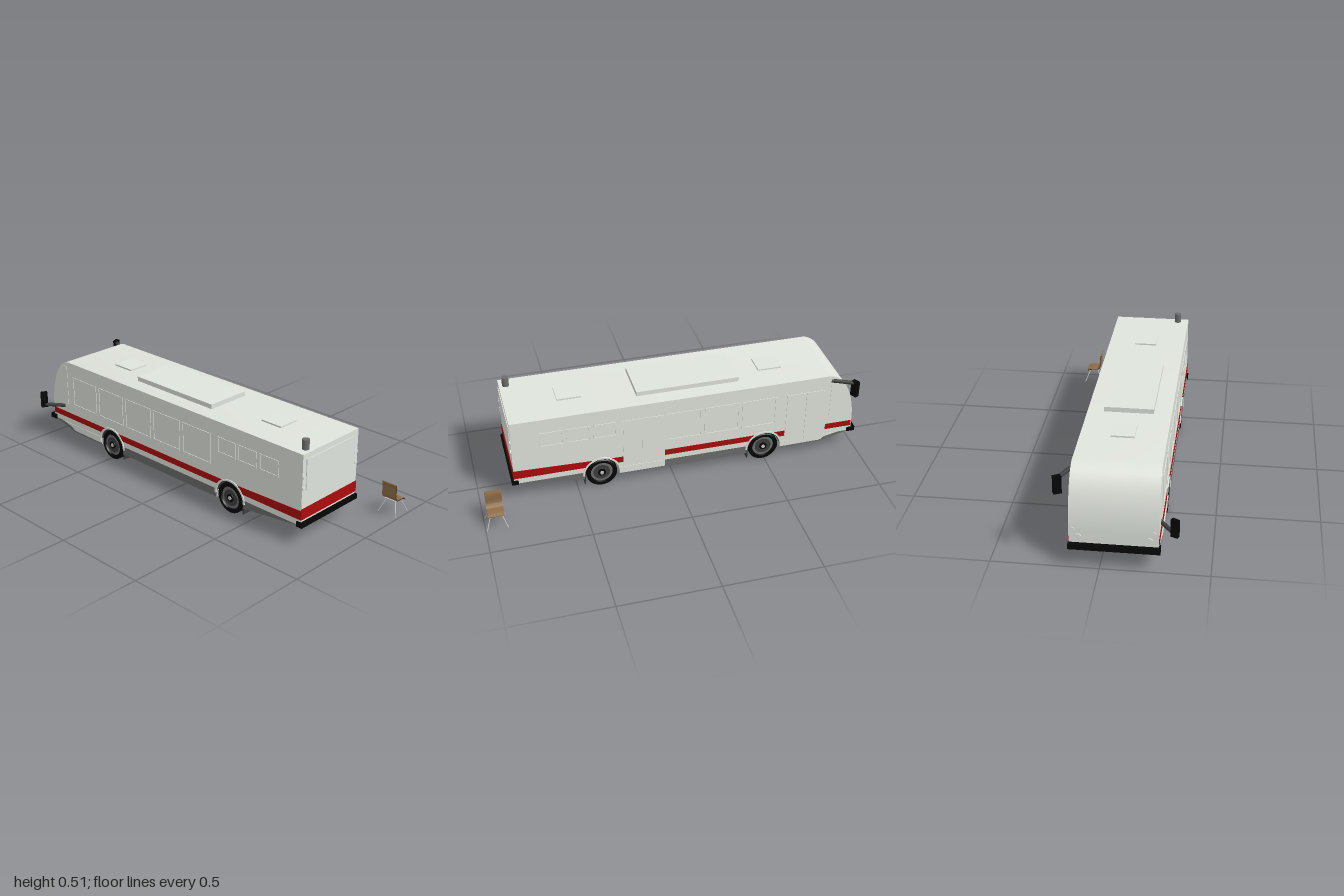
import * as THREE from 'three';
import { toCreasedNormals } from 'three/addons/utils/BufferGeometryUtils.js';

const RIGHT = 0.14, LEFT = -0.265, MID = (RIGHT + LEFT) / 2, WIDTH = RIGHT - LEFT;
const AXLES = [0.375, -0.49], ARCH = 0.09, HUB_Y = 0.08;

export function createModel() {
  const bus = new THREE.Group();
  bus.name = 'busAndChair';
  const mat = (name, color) => {
    const m = new THREE.MeshStandardMaterial({ color });
    m.name = name;
    return m;
  };
  const paint = mat('paleGreyPaint', 0xdfe4dc);
  const red = mat('redStripe', 0xab0c0c);
  const grey = mat('skirtGrey', 0x6c6c6c);
  const under = mat('undersideGrey', 0xb0b0b0);
  const dark = mat('darkGrey', 0x3d3d3d);
  dark.side = THREE.DoubleSide;
  const black = mat('blackRubber', 0x060606);
  const brown = mat('brownSeat', 0x8e6d47);
  const edge = mat('darkSeatEdge', 0x3a2a1c);
  const steel = mat('chairSteel', 0xc4c6c4);

  const add = (name, geo, material, parent = bus) => {
    const m = new THREE.Mesh(geo, material);
    m.name = name;
    parent.add(m);
    return m;
  };
  // box given by its limits on each axis
  const box = (name, x0, x1, y0, y1, z0, z1, material, parent) => {
    const m = add(name, new THREE.BoxGeometry(x1 - x0, y1 - y0, z1 - z0), material, parent);
    m.position.set((x0 + x1) / 2, (y0 + y1) / 2, (z0 + z1) / 2);
    return m;
  };
  // side profile in (z, y), extruded from x0 to x1; materials may be [flanks, rim]
  const profile = (name, shape, x0, x1, material) => {
    const s = Array.isArray(shape) ? new THREE.Shape(shape.map(p => new THREE.Vector2(...p))) : shape;
    const g = new THREE.ExtrudeGeometry(s, { depth: x1 - x0, bevelEnabled: false, curveSegments: 20 });
    g.rotateY(-Math.PI / 2).translate(x1, 0, 0);
    return add(name, toCreasedNormals(g, 0.5), material);
  };
  // thin plate on the outside of one flank
  const flank = (name, shape, side, material, t = 0.004) =>
    side > 0 ? profile(name, shape, RIGHT, RIGHT + t, material) : profile(name, shape, LEFT - t, LEFT, material);
  const rect = (z0, z1, y0, y1) => [[z0, y0], [z1, y0], [z1, y1], [z0, y1]];
  const rod = (name, a, b, r, material, parent) => {
    const p = new THREE.Vector3(...a), q = new THREE.Vector3(...b);
    const m = add(name, new THREE.CylinderGeometry(r, r, p.distanceTo(q), 16), material, parent);
    m.position.copy(p).add(q).multiplyScalar(0.5);
    m.quaternion.setFromUnitVectors(new THREE.Vector3(0, 1, 0), q.sub(p).normalize());
    return m;
  };

  // main shell with wheel arches and rounded windscreen
  const shell = new THREE.Shape();
  const hw = Math.sqrt(ARCH ** 2 - 0.02 ** 2), a0 = Math.asin(0.02 / ARCH);
  shell.moveTo(0.822, 0.1);
  shell.lineTo(0.822, 0.463);
  shell.lineTo(-0.835, 0.463);
  shell.bezierCurveTo(-0.93, 0.45, -0.975, 0.31, -0.978, 0.18);
  shell.lineTo(-0.978, 0.1);
  for (const z of [...AXLES].reverse()) {
    shell.lineTo(z - hw, 0.1);
    shell.absarc(z, HUB_Y, ARCH, Math.PI - a0, a0, true);
  }
  profile('bodyShell', shell, LEFT, RIGHT, paint);

  // underbody sections
  const chassis = [grey, under];
  profile('rearUnderbody', [[0.822, 0.1], [0.463, 0.1], [0.463, 0.055]], LEFT, RIGHT, chassis);
  profile('middleUnderbody', rect(-0.402, 0.287, 0.055, 0.1), LEFT, RIGHT, chassis);
  profile('frontUnderbody', [[-0.578, 0.1], [-0.975, 0.1], [-0.8, 0.057], [-0.578, 0.057]], LEFT, RIGHT, chassis);
  box('frontAxleHousing', -0.165, 0.04, 0.055, 0.15, -0.58, -0.4, under);

  // wheels, arches and mudflaps
  const tyre = [[0.05, -0.0435], [0.074, -0.0435], [0.08, -0.039], [0.08, 0.039], [0.074, 0.0435], [0.06, 0.0435], [0.057, 0.034]];
  for (const z of AXLES) {
    const liner = new THREE.CylinderGeometry(ARCH - 0.001, ARCH - 0.001, WIDTH - 0.004, 24, 1, true, 0, Math.PI);
    liner.rotateZ(Math.PI / 2);
    add('archLiner', liner, dark).position.set(MID, HUB_Y, z);
    for (const side of [1, -1]) {
      const wheel = new THREE.Group();
      wheel.name = 'wheel';
      const disc = (name, r, h, y, m) =>
        add(name, new THREE.CylinderGeometry(r, r, h, 32), m, wheel).position.set(0, y, 0);
      add('tyre', toCreasedNormals(new THREE.LatheGeometry(tyre.map(p => new THREE.Vector2(...p)), 36), 0.6), black, wheel);
      disc('rim', 0.058, 0.07, 0, grey);
      disc('rimRecess', 0.043, 0.004, 0.036, dark);
      disc('hub', 0.02, 0.012, 0.037, black);
      disc('hubCap', 0.01, 0.006, 0.043, steel);
      disc('innerFace', 0.07, 0.004, -0.041, black);
      wheel.rotation.z = -side * Math.PI / 2;
      wheel.position.set(side > 0 ? 0.0935 : -0.2215, HUB_Y, z);
      bus.add(wheel);

      const lip = new THREE.Shape();
      lip.absarc(z, HUB_Y, ARCH + 0.009, 0, Math.PI, false);
      lip.absarc(z, HUB_Y, ARCH, Math.PI, 0, true);
      flank('archLip', lip, side, paint, 0.005);
      const x = side > 0 ? 0.04 : LEFT;
      box('mudflap', x, x + 0.1, 0.024, 0.09, z + 0.086, z + 0.091, dark);
    }
  }

  // pale lower panels below the doors
  flank('lowerDoorPanel', rect(0.045, 0.284, 0.062, 0.1), 1, paint, 0.002);
  for (const side of [1, -1]) {
    flank('frontLowerPanel', [[-0.83, 0.085], [-0.8, 0.067], [-0.58, 0.065], [-0.58, 0.1], [-0.9, 0.1]], side, paint, 0.002);
  }

  // red band, taller towards the tail, its ends cut to the arches
  const bandTop = z => 0.163 + Math.max(0, z - 0.3) * 0.029;
  const band = (low0, low1, top0, top1, side) =>
    flank('redBand', [[low0, 0.131], [low1, 0.131], [top1, bandTop(top1)], [top0, bandTop(top0)]], side, red, 0.002);
  const [rear, front] = AXLES, wide = 0.084, narrow = 0.049;
  for (const side of [1, -1]) {
    band(rear + wide, 0.822, rear + narrow, 0.822, side);
    const middle = side > 0 ? 0.045 : rear - wide;
    band(front + wide, middle, front + narrow, side > 0 ? middle : rear - narrow, side);
    const nose = side > 0 ? -0.602 : -0.974;
    band(nose, front - wide, nose, front - narrow, side);
  }
  band(0.262, rear - wide, 0.262, rear - narrow, 1);
  band(-0.974, -0.83, -0.974, -0.83, 1);
  box('rearRedBand', LEFT - 0.002, RIGHT + 0.002, 0.131, 0.187, 0.822, 0.825, red);

  // windows on both flanks
  const windowAt = (z0, z1, y0, y1, side) => {
    const frame = new THREE.Shape(rect(z0, z1, y0, y1).map(p => new THREE.Vector2(...p)));
    const b = 0.008;
    frame.holes.push(new THREE.Path(rect(z0 + b, z1 - b, y0 + b, y1 - b).map(p => new THREE.Vector2(...p))));
    flank('windowFrame', frame, side, paint, 0.003);
  };
  for (let i = 0; i < 3; i++) windowAt(-0.55 + i * 0.2, -0.365 + i * 0.2, 0.22, 0.385, 1);
  for (let i = 0; i < 5; i++) windowAt(-0.8 + i * 0.212, -0.605 + i * 0.212, 0.22, 0.385, -1);
  for (const side of [1, -1]) {
    for (let i = 0; i < 3; i++) windowAt(0.29 + i * 0.135, 0.41 + i * 0.135, 0.3, 0.385, side);
    flank('cabSideWindow', [[-0.845, 0.21], [-0.845, 0.435], [-0.88, 0.435], [-0.925, 0.36], [-0.955, 0.21]], side, paint, 0.002);
  }

  // two double doors on the +x flank
  for (const [z0, z1, y0] of [[0.165, 0.26, 0.14], [0.05, 0.161, 0.14], [-0.708, -0.606, 0.07], [-0.815, -0.712, 0.07]]) {
    flank('doorLeaf', rect(z0, z1, y0, 0.383), 1, paint, 0.003);
  }

  // tail window and lamps
  box('rearWindow', -0.24, 0.115, 0.277, 0.435, 0.82, 0.826, paint);
  const lamp = (x, y, z, r) => {
    const m = add('lamp', new THREE.CylinderGeometry(r, r, 0.008, 24), paint);
    m.rotation.x = Math.PI / 2;
    m.position.set(x, y, z);
  };
  for (const x of [-0.254, 0.127]) {
    lamp(x, 0.292, 0.823, 0.011);
    lamp(x, 0.347, 0.823, 0.011);
  }
  for (const s of [1, -1]) {
    lamp(MID + s * 0.16, 0.15, -0.979, 0.016);
    lamp(MID + s * 0.183, 0.188, -0.978, 0.009);
  }

  // bumpers
  box('rearBumper', -0.273, 0.143, 0.094, 0.12, 0.8, 0.834, black);
  box('frontBumper', -0.273, 0.143, 0.094, 0.12, -1, -0.955, black);

  // roof fittings
  box('roofUnit', -0.18, 0.06, 0.46, 0.487, -0.365, 0.17, paint);
  for (const z of [-0.615, 0.438]) box('roofHatch', -0.115, -0.003, 0.46, 0.471, z, z + 0.124, paint);
  rod('exhaustStack', [-0.207, 0.45, 0.787], [-0.207, 0.512, 0.787], 0.0175, grey);

  // mirrors on arms
  rod('rightMirrorArm', [0.135, 0.432, -0.845], [0.188, 0.432, -0.955], 0.01, dark);
  box('rightMirror', 0.17, 0.207, 0.357, 0.443, -0.966, -0.942, black).rotation.y = 0.45;
  rod('leftMirrorArm', [-0.262, 0.196, -0.88], [-0.328, 0.196, -0.97], 0.01, dark);
  box('leftMirror', -0.352, -0.316, 0.182, 0.269, -0.985, -0.965, black).rotation.y = -0.45;

  // chair standing behind the vehicle
  const chair = new THREE.Group();
  chair.name = 'chair';
  bus.add(chair);
  const line = new THREE.CatmullRomCurve3([[0.254, 0.175], [0.26, 0.155], [0.261, 0.105], [0.272, 0.087], [0.31, 0.084], [0.337, 0.076]]
    .map(p => new THREE.Vector3(p[0], p[1], 0))).getPoints(24);
  const outline = [...line, ...line.map(p => new THREE.Vector3(p.x - 0.003, p.y - 0.004, 0)).reverse()];
  const seat = new THREE.ExtrudeGeometry(new THREE.Shape(outline.map(p => new THREE.Vector2(p.x, p.y))), { depth: 0.082, bevelEnabled: false });
  add('seatShell', toCreasedNormals(seat.translate(0, 0, 0.9), 0.6), [edge, brown], chair);
  box('seatBase', 0.266, 0.325, 0.073, 0.08, 0.91, 0.972, steel, chair);
  for (const s of [1, -1]) {
    rod('backLeg', [0.277, 0.076, 0.941 + s * 0.026], [0.247, 0.004, 0.941 + s * 0.052], 0.0022, steel, chair);
    rod('frontLeg', [0.318, 0.076, 0.941 + s * 0.026], [0.348, 0.004, 0.941 + s * 0.052], 0.0022, steel, chair);
  }
  return bus;
}
